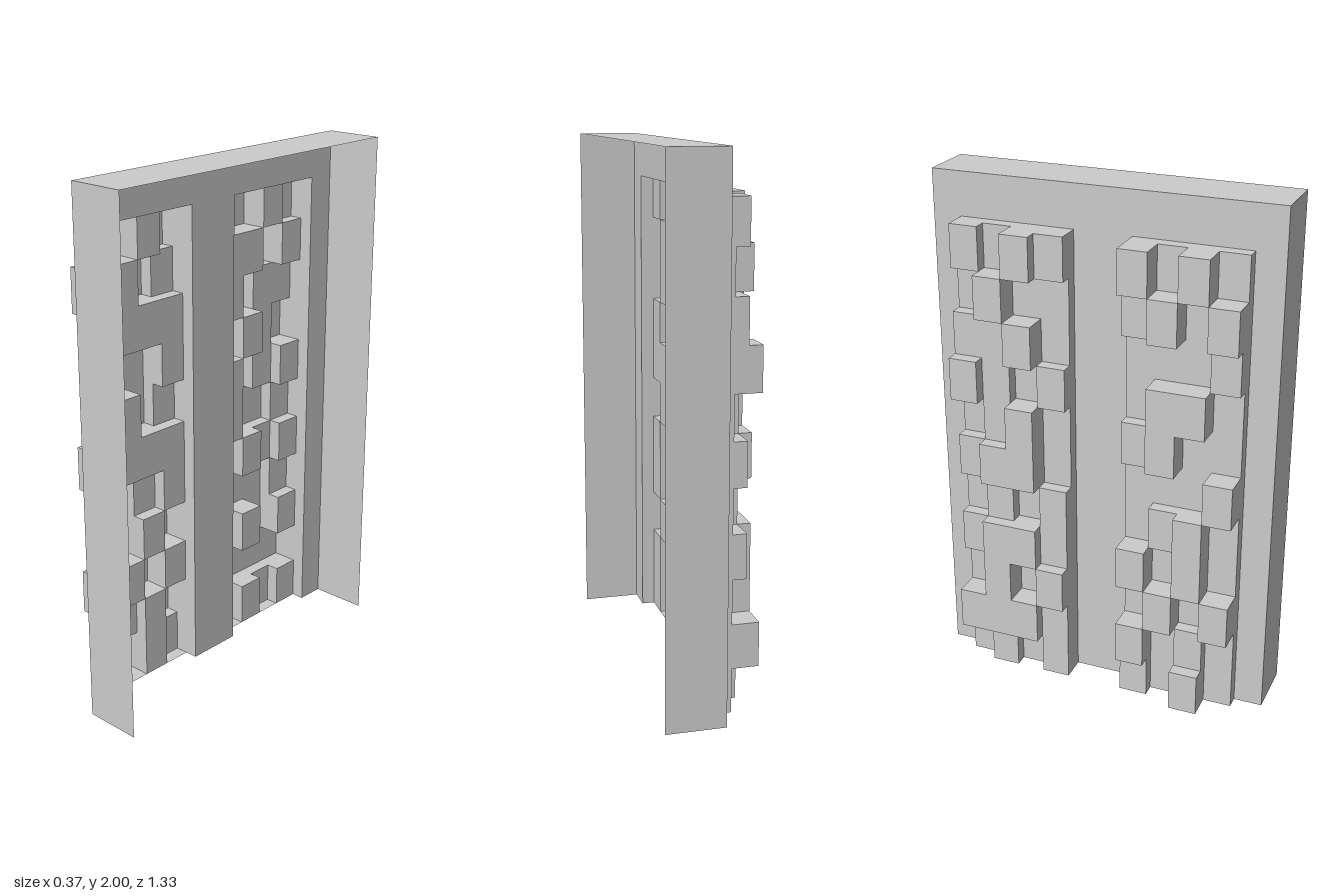
import * as THREE from 'three';

const CELL_Z = 1 / 9, CELL_Y = 1 / 6, STEP = 0.0503;
const PANEL_X = -0.0365, OPEN_X = 0.1875, HALF_Z = 2 / 3, HEIGHT = 2;

// Relief depth of each cell, top row first; columns run from +z to -z
const RELIEF = [
  '000000000000',
  '013130023120',
  '031320011310',
  '021110013220',
  '013310021230',
  '011320013210',
  '031110013320',
  '013210021210',
  '013130023320',
  '031310031310',
  '012130023330',
  '013120021210',
].reverse();

// Depth along the bottom edge: the strips are open there, only the blocks are closed
const BOTTOM = '011110011110';

// Flat-sided mesh from a list of four-cornered faces
function quadMesh(name, quads, material) {
  const positions = [];
  for (const [a, b, c, d] of quads) positions.push(...a, ...b, ...c, ...a, ...c, ...d);
  const geometry = new THREE.BufferGeometry();
  geometry.setAttribute('position', new THREE.Float32BufferAttribute(positions, 3));
  geometry.computeVertexNormals();
  const mesh = new THREE.Mesh(geometry, material);
  mesh.name = name;
  return mesh;
}

// x position of a cell; columns outside the grid lie at panel level
const cellX = (row, col) => PANEL_X - STEP * Number((RELIEF[row] ?? BOTTOM)[col] ?? 0);

// Cell faces plus the steps between neighbouring cells
function reliefQuads() {
  const quads = [];
  for (let row = 0; row < 12; row++) {
    for (let col = 0; col < 12; col++) {
      const x = cellX(row, col), below = cellX(row - 1, col), next = cellX(row, col + 1);
      const y0 = row * CELL_Y, y1 = y0 + CELL_Y;
      const z0 = HALF_Z - col * CELL_Z, z1 = z0 - CELL_Z;
      quads.push([[x, y0, z0], [x, y1, z0], [x, y1, z1], [x, y0, z1]]);
      if (below !== x) quads.push([[below, y0, z1], [below, y0, z0], [x, y0, z0], [x, y0, z1]]);
      if (next !== x) quads.push([[x, y0, z1], [x, y1, z1], [next, y1, z1], [next, y0, z1]]);
    }
  }
  return quads;
}

export function createModel() {
  const group = new THREE.Group();
  group.name = 'reliefPanelShell';
  const material = new THREE.MeshStandardMaterial({
    color: 0xcccccc, flatShading: true, side: THREE.DoubleSide,
  });

  // Stepped panel, hollow behind the blocks
  group.add(quadMesh('reliefPanel', reliefQuads(), material));

  // Thin surround, open at the bottom and on the +x side
  const p = PANEL_X, o = OPEN_X, h = HEIGHT, z = HALF_Z;
  group.add(quadMesh('topWall', [[[p, h, z], [o, h, z], [o, h, -z], [p, h, -z]]], material));
  group.add(quadMesh('frontWall', [[[p, 0, z], [o, 0, z], [o, h, z], [p, h, z]]], material));
  group.add(quadMesh('backWall', [[[o, 0, -z], [p, 0, -z], [p, h, -z], [o, h, -z]]], material));
  return group;
}
